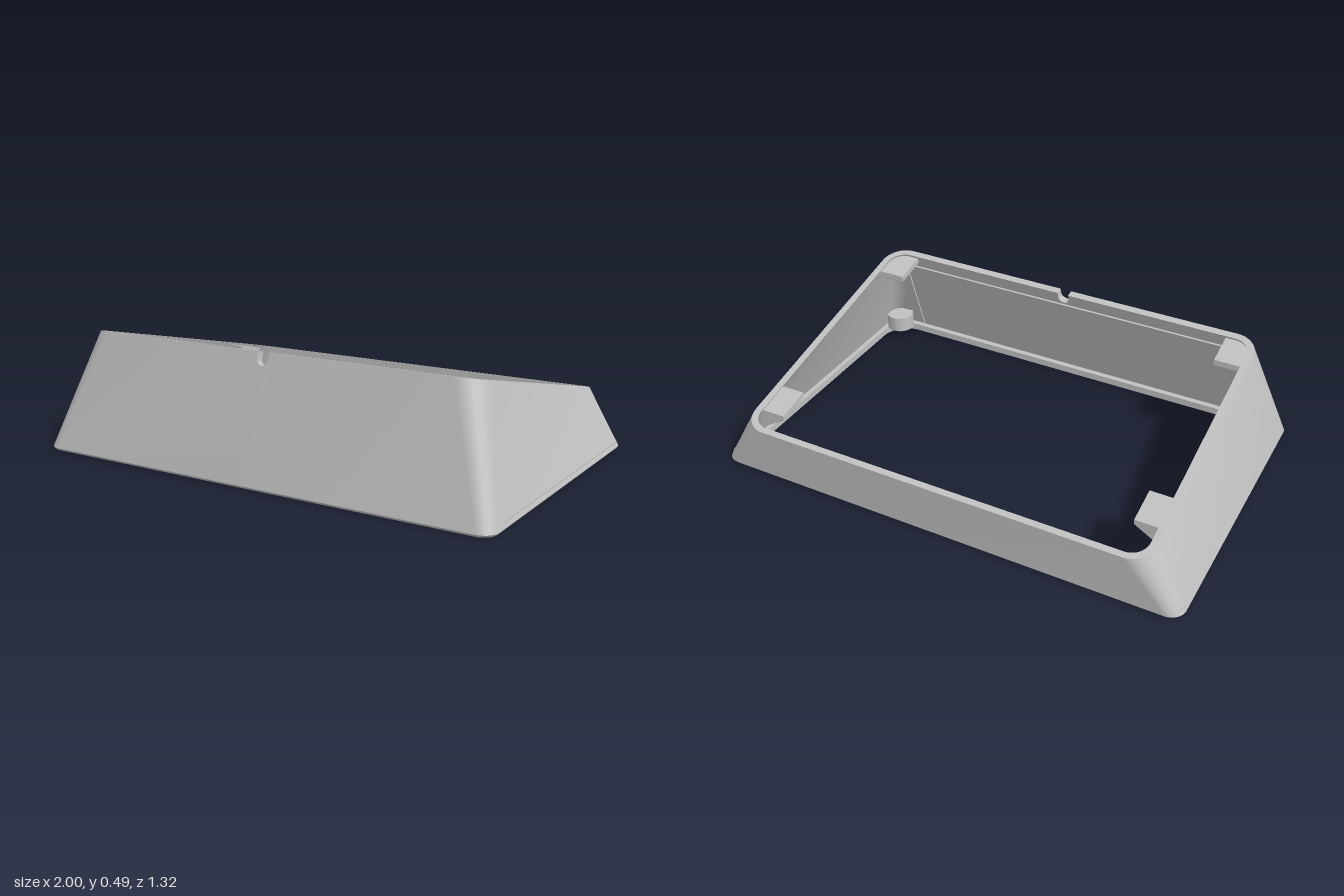
import * as THREE from 'three';
import { toCreasedNormals } from 'three/addons/utils/BufferGeometryUtils.js';
import { ConvexGeometry } from 'three/addons/geometries/ConvexGeometry.js';

const SLOT = 0.025; // half width of the cable slot
const slopeY = (z) => 0.377 + 0.2232 * z; // sloping top plane

// Slot outline across the front: [x, drop below the rim]
const slotOutline = [[-SLOT, 0]];
for (let i = 0; i <= 8; i++) {
  const a = Math.PI * (1 + i / 8);
  slotOutline.push([SLOT * Math.cos(a), 0.025 - SLOT * Math.sin(a)]);
}
slotOutline.push([SLOT, 0]);

// Rounded-rectangle loop; a null y puts it on the sloping top plane
function ring(x, zBack, zFront, r, y) {
  const pts = slotOutline.map(([sx, drop]) => (y === null
    ? [sx, slopeY(zFront) - drop, zFront + drop * 0.33]
    : [sx, y, zFront]));
  const corners = [[x - r, zFront - r], [x - r, zBack + r], [r - x, zBack + r], [r - x, zFront - r]];
  corners.forEach(([cx, cz], k) => {
    for (let i = 0; i <= 10; i++) {
      const a = (k + i / 10) * Math.PI / 2;
      const pz = cz + r * Math.cos(a);
      pts.push([cx + r * Math.sin(a), y === null ? slopeY(pz) : y, pz]);
    }
  });
  return pts;
}

function loft(rings) {
  const n = rings[0].length;
  const index = [];
  for (let j = 0; j < rings.length - 1; j++) {
    for (let i = 0; i < n; i++) {
      const a = j * n + i, b = j * n + (i + 1) % n;
      index.push(a, b, b + n, a, b + n, a + n);
    }
  }
  const g = new THREE.BufferGeometry();
  g.setAttribute('position', new THREE.Float32BufferAttribute(rings.flat(2), 3));
  g.setIndex(index);
  return toCreasedNormals(g, 0.5);
}

// Flat rounded outline, with shape y running towards the back
function outline(Type, x, zBack, zFront, r) {
  return new Type(ring(x, zBack, zFront, r, 0).slice(slotOutline.length)
    .map(([px, , pz]) => new THREE.Vector2(px, -pz)));
}

export function createModel() {
  const model = new THREE.Group();
  const grey = new THREE.MeshStandardMaterial({ color: 0xc0c0c0 });
  grey.name = 'lightGrey';
  const add = (name, geometry) => {
    const mesh = new THREE.Mesh(geometry, grey);
    mesh.name = name;
    model.add(mesh);
    return mesh;
  };

  // Thin sloping walls, outside up and inside down
  add('shell', loft([
    ring(0.992, -0.637, 0.647, 0.055, 0),
    ring(1, -0.645, 0.655, 0.06, 0.01),
    ring(0.87, -0.66, 0.505, 0.1, null),
    ring(0.84, -0.635, 0.475, 0.07, null),
    ring(0.965, -0.617, 0.625, 0.05, 0.03),
  ]));

  // Bottom lip with a screw hole in each corner
  const lip = outline(THREE.Shape, 0.992, -0.637, 0.647, 0.055);
  lip.holes.push(outline(THREE.Path, 0.945, -0.595, 0.6, 0.12));
  for (const x of [-0.94, 0.94]) {
    for (const z of [-0.588, 0.598]) {
      lip.holes.push(new THREE.Path().absarc(x, -z, 0.016, 0, Math.PI * 2, true));
    }
  }
  const lipGeometry = new THREE.ExtrudeGeometry(lip, { depth: 0.03, bevelEnabled: false, curveSegments: 16 });
  lipGeometry.rotateX(-Math.PI / 2);
  add('bottomLip', toCreasedNormals(lipGeometry, 0.5));

  for (const s of [-1, 1]) {
    const side = s > 0 ? 'left' : 'right';

    // Screw posts standing on the lip
    add(side + 'FrontPost', new THREE.CylinderGeometry(0.062, 0.062, 0.07, 24)).position.set(s * 0.9, 0.065, 0.56);
    add(side + 'BackPost', new THREE.CylinderGeometry(0.055, 0.055, 0.04, 24)).position.set(s * 0.9, 0.05, -0.57);

    // Front corner tabs tapering down into the corner
    const front = [[0.73, 0.345], [0.85, 0.345], [0.85, 0.4], [0.83, 0.46], [0.8, 0.485], [0.73, 0.485]];
    const frontPoints = front.flatMap(([x, z]) => [0.01, 0.035].map(
      (d) => new THREE.Vector3(s * x, slopeY(z) - d, z)));
    frontPoints.push(new THREE.Vector3(s * 0.86, 0.32, 0.49));
    add(side + 'FrontTab', new ConvexGeometry(frontPoints));

    // Back tabs tapering down into the side wall
    const z0 = s > 0 ? -0.55 : -0.49;
    const backPoints = [z0, z0 + 0.14].flatMap((z) => [[0.745, 0.01], [0.745, 0.03], [0.85, 0.01], [0.88, 0.11]].map(
      ([x, d]) => new THREE.Vector3(s * x, slopeY(z) - d, z)));
    add(side + 'BackTab', new ConvexGeometry(backPoints));
  }

  // Raised border around the recessed inside of the front wall
  const border = (name, w, h, x, y) => {
    const mesh = add(name, new THREE.BoxGeometry(w, h, 0.014));
    mesh.position.set(x, y, 0.625 - (y - 0.03) / 3);
    mesh.rotation.x = -Math.atan(1 / 3);
  };
  border('innerBorderTop', 1.62, 0.03, 0, 0.41);
  border('innerBorderLeft', 0.02, 0.38, 0.81, 0.22);
  border('innerBorderRight', 0.02, 0.38, -0.81, 0.22);

  return model;
}
